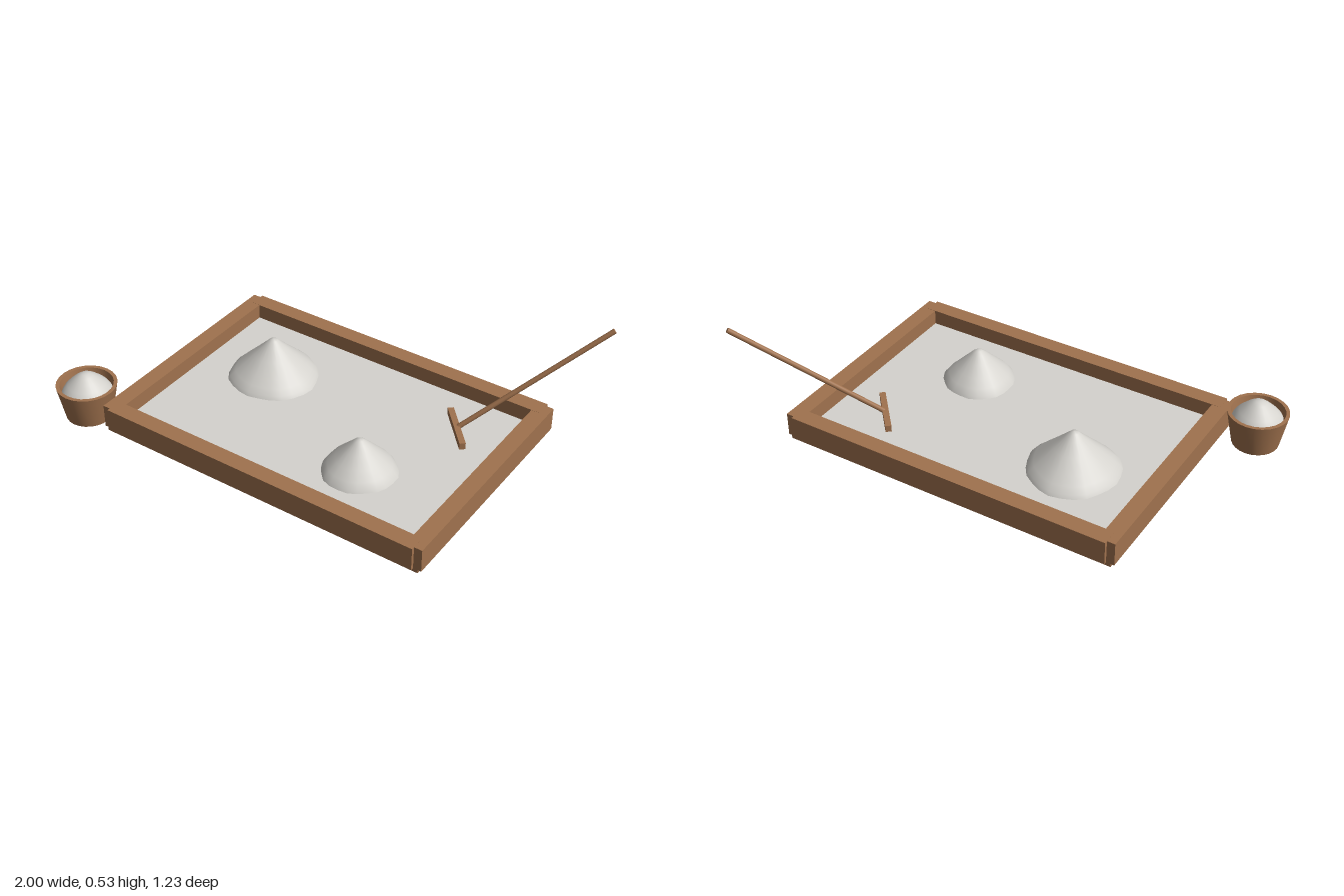
import * as THREE from 'three';
import { mergeVertices, toCreasedNormals } from 'three/addons/utils/BufferGeometryUtils.js';

const mat = (name, color) => {
  const m = new THREE.MeshStandardMaterial({ color });
  m.name = name;
  return m;
};

export function createModel() {
  const wood = mat('wood', 0xa0724e);
  const sand = mat('sand', 0xd5d3ce);
  const group = new THREE.Group();

  const add = (name, geometry, material, x = 0, y = 0, z = 0, parent = group) => {
    const mesh = new THREE.Mesh(geometry, material);
    mesh.name = name;
    mesh.position.set(x, y, z);
    parent.add(mesh);
    return mesh;
  };
  const profile = (pts) => pts.map(([r, y]) => new THREE.Vector2(r, y));

  // Heap of sand with a ragged foot: the wobble grows towards the base
  const heap = (pts, wobble, phase) => {
    let g = new THREE.LatheGeometry(profile(pts), 24);
    const p = g.attributes.position;
    const rMax = pts[0][0];
    for (let i = 0; i < p.count; i++) {
      const x = p.getX(i), z = p.getZ(i);
      const r = Math.hypot(x, z), a = Math.atan2(z, x);
      const n = 0.6 * Math.sin(3 * a + phase) + 0.4 * Math.sin(8 * a + 2 * phase);
      const k = 1 + wobble * n * (0.35 + 0.65 * r / rMax);
      p.setX(i, x * k);
      p.setZ(i, z * k);
    }
    g.deleteAttribute('normal');
    g.deleteAttribute('uv');
    g = mergeVertices(g, 1e-5);
    g.computeVertexNormals();
    return g;
  };

  // Tray: floor, sand bed and four rails with stepped corners
  const tray = new THREE.Group();
  tray.name = 'tray';
  tray.position.set(0.035, 0, 0.007);
  group.add(tray);
  add('trayFloor', new THREE.BoxGeometry(1.52, 0.03, 1.045), wood, 0, 0.015, 0, tray);
  add('sandBed', new THREE.BoxGeometry(1.42, 0.03, 0.94), sand, 0, 0.037, 0, tray);
  for (const s of [-1, 1]) {
    add(s > 0 ? 'frontRail' : 'backRail',
      new THREE.BoxGeometry(1.48, 0.105, 0.073), wood, 0, 0.0675, s * 0.5, tray);
    add(s > 0 ? 'leftRail' : 'rightRail',
      new THREE.BoxGeometry(0.072, 0.104, 1.045), wood, s * 0.739, 0.0675, 0, tray);
  }

  // Sand piles
  add('largeSandPile', heap([
    [0.2, 0.045], [0.188, 0.068], [0.165, 0.09], [0.135, 0.12],
    [0.085, 0.168], [0.04, 0.212], [0.018, 0.234], [0, 0.24],
  ], 0.035, 0.6), sand, -0.345, 0, -0.132);
  add('smallSandPile', heap([
    [0.16, 0.045], [0.15, 0.065], [0.132, 0.088], [0.1, 0.12],
    [0.06, 0.16], [0.03, 0.19], [0.014, 0.202], [0, 0.205],
  ], 0.035, 2.1), sand, 0.32, 0, 0.2);

  // Bucket with its own heap of sand
  const bucket = new THREE.Group();
  bucket.name = 'bucket';
  bucket.position.set(-0.87, 0, 0.485);
  group.add(bucket);
  const shell = new THREE.LatheGeometry(profile([
    [0, 0], [0.1, 0], [0.13, 0.155], [0.114, 0.155], [0.1, 0.085], [0, 0.085],
  ]), 24);
  add('bucketShell', toCreasedNormals(shell, 0.6), wood, 0, 0, 0, bucket);
  add('bucketSand', heap([
    [0.108, 0.118], [0.096, 0.138], [0.08, 0.155], [0.055, 0.179],
    [0.032, 0.197], [0.015, 0.204], [0, 0.205],
  ], 0.01, 1), sand, 0, 0, 0, bucket);

  // Rake: head lying on the sand, handle leaning out over the back corner
  const head = add('rakeHead', new THREE.BoxGeometry(0.245, 0.03, 0.026), wood, 0.513, 0.068, -0.233);
  head.rotation.y = -Math.atan2(0.185, 0.165);
  const from = new THREE.Vector3(0.515, 0.072, -0.235);
  const to = new THREE.Vector3(0.99, 0.525, -0.61);
  const dir = to.clone().sub(from);
  const handle = add('rakeHandle', new THREE.CylinderGeometry(0.011, 0.011, dir.length(), 12), wood);
  handle.position.copy(from).add(to).multiplyScalar(0.5);
  handle.quaternion.setFromUnitVectors(new THREE.Vector3(0, 1, 0), dir.normalize());

  return group;
}
